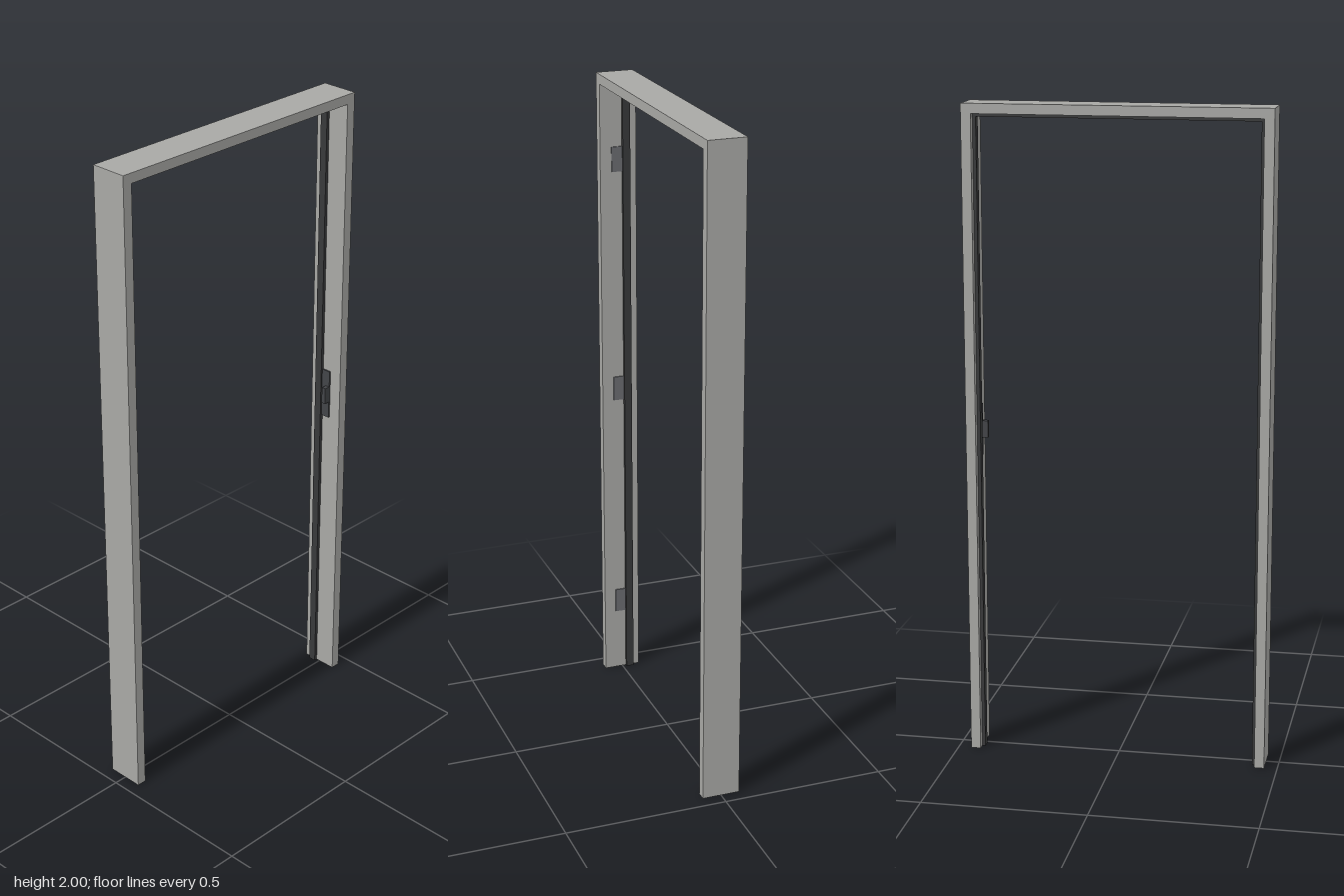
import * as THREE from 'three';

const material = (name, color) => {
  const m = new THREE.MeshStandardMaterial({ color });
  m.name = name;
  return m;
};

export function createModel() {
  const model = new THREE.Group();
  model.name = 'doorFrame';
  const steel = material('greySteel', 0xa8a8a5);
  const dark = material('darkStop', 0x38393a);
  const hingeGrey = material('hingeGrey', 0x6a6c70);
  const lockGrey = material('lockDark', 0x434548);

  const box = (name, mat, x0, x1, y0, y1, z0, z1, parent = model) => {
    const mesh = new THREE.Mesh(new THREE.BoxGeometry(x1 - x0, y1 - y0, z1 - z0), mat);
    mesh.position.set((x0 + x1) / 2, (y0 + y1) / 2, (z0 + z1) / 2);
    mesh.name = name;
    parent.add(mesh);
    return mesh;
  };

  // Upside-down U, extruded through the wall depth
  const portal = (name, mat, outerX, outerY, innerX, innerY, z0, z1) => {
    const points = [
      [-outerX, 0], [-innerX, 0], [-innerX, innerY], [innerX, innerY],
      [innerX, 0], [outerX, 0], [outerX, outerY], [-outerX, outerY],
    ].map(([x, y]) => new THREE.Vector2(x, y));
    const geometry = new THREE.ExtrudeGeometry(new THREE.Shape(points), { depth: z1 - z0, bevelEnabled: false });
    const mesh = new THREE.Mesh(geometry, mat);
    mesh.position.z = z0;
    mesh.name = name;
    model.add(mesh);
  };

  // Jambs and header, with the door stop running round the inside
  portal('frame', steel, 0.46, 2, 0.43, 1.97, -0.058, 0.058);
  portal('doorStop', dark, 0.43, 1.97, 0.42, 1.96, -0.036, -0.012);

  // Three hinge leaves on the right jamb
  for (const y of [0.245, 0.99, 1.735]) {
    const hinge = new THREE.Group();
    hinge.name = 'hinge';
    model.add(hinge);
    box('hingeLeaf', hingeGrey, -0.43, -0.426, y - 0.039, y + 0.039, -0.012, 0.022, hinge);
  }

  // Strike plate with its lip on the left jamb
  box('strikePlate', lockGrey, 0.425, 0.43, 0.93, 1.09, -0.012, 0.018);
  box('strikeLip', lockGrey, 0.407, 0.425, 0.985, 1.038, 0.004, 0.018);

  return model;
}
